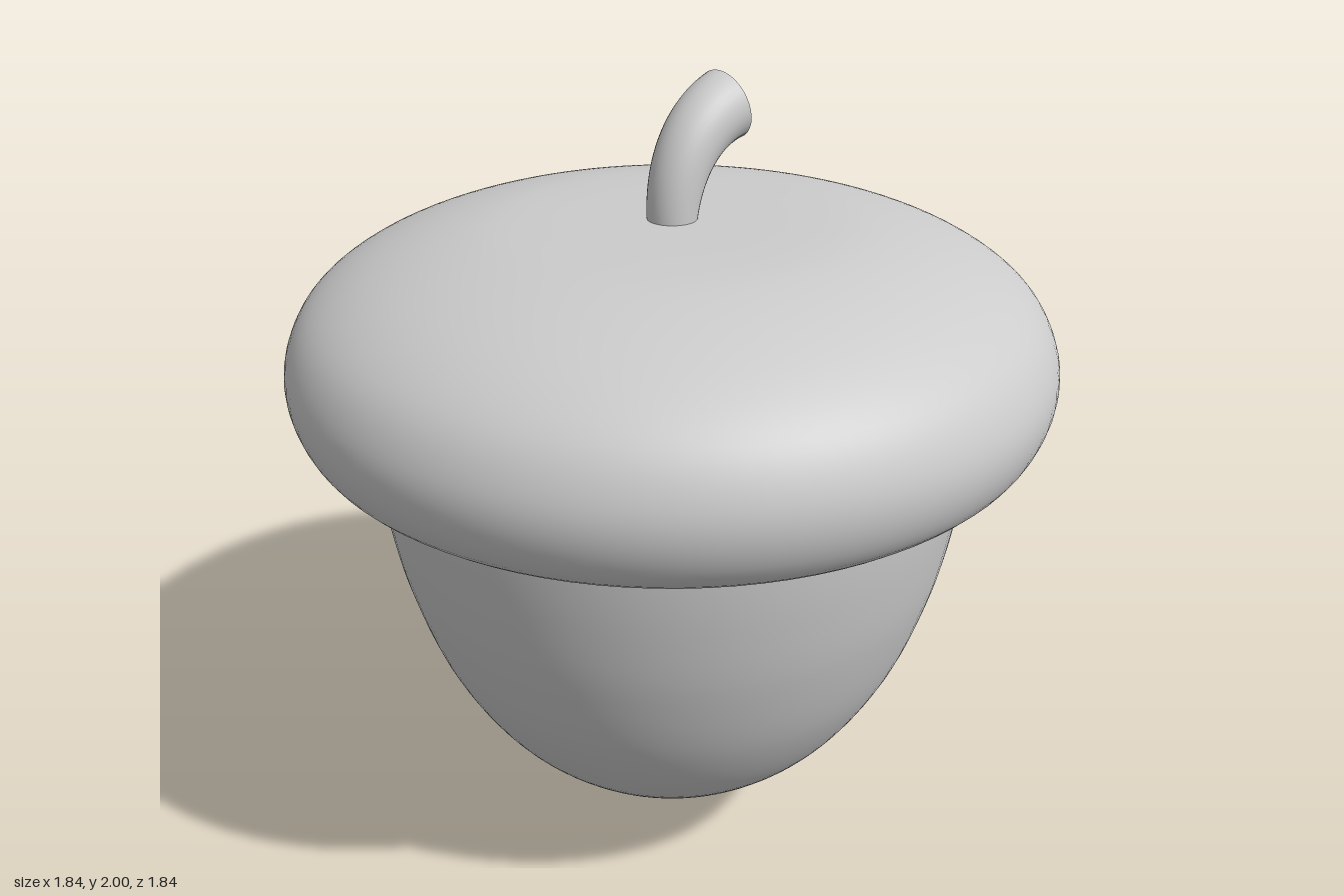
import * as THREE from 'three';

const material = new THREE.MeshStandardMaterial({ color: 0xcccccc });

function addMesh(group, geometry, name) {
  const mesh = new THREE.Mesh(geometry, material);
  mesh.name = name;
  group.add(mesh);
  return mesh;
}

// Smooth surface of revolution; profile runs from bottom to top
function turned(profile, steps = 48) {
  const curve = new THREE.SplineCurve(profile.map(([r, y]) => new THREE.Vector2(r, y)));
  const points = curve.getSpacedPoints(steps);
  points.forEach((p) => { p.x = Math.max(p.x, 0); });
  return new THREE.LatheGeometry(points, 96);
}

export function createModel() {
  const acorn = new THREE.Group();
  acorn.name = 'acorn';

  // Nut body, tucked up inside the cap
  addMesh(acorn, turned([
    [0, 0.11], [0.09, 0.115], [0.18, 0.145], [0.33, 0.225], [0.49, 0.375], [0.61, 0.575],
    [0.685, 0.8], [0.722, 1.0], [0.737, 1.17], [0.735, 1.3],
  ]), 'nut');

  // Pointed tip under the nut
  addMesh(acorn, turned([
    [0, 0], [0.035, 0.005], [0.075, 0.03], [0.125, 0.08], [0.18, 0.142], [0.22, 0.18],
  ], 24), 'tip');

  // Rounded cap with an inward-turned rim
  addMesh(acorn, turned([
    [0.6, 1.21], [0.68, 1.18], [0.75, 1.17], [0.82, 1.183], [0.885, 1.235], [0.918, 1.32],
    [0.912, 1.41], [0.86, 1.505], [0.76, 1.58], [0.62, 1.637], [0.46, 1.672],
    [0.3, 1.682], [0.15, 1.682], [0, 1.682],
  ], 64), 'cap');

  // Curved stem that widens towards its cut end
  const path = new THREE.CubicBezierCurve3(
    new THREE.Vector3(0, 1.66, 0), new THREE.Vector3(0, 1.79, 0),
    new THREE.Vector3(0.06, 1.89, 0), new THREE.Vector3(0.168, 1.92, 0),
  );
  const rings = 24, sides = 32, endRadius = 0.084;
  const stem = new THREE.TubeGeometry(path, rings, 1, sides);
  const position = stem.attributes.position;
  const vertex = new THREE.Vector3();
  for (let i = 0; i < position.count; i++) {
    const t = Math.floor(i / (sides + 1)) / rings;
    const centre = path.getPointAt(t);
    vertex.fromBufferAttribute(position, i).sub(centre);
    vertex.multiplyScalar(THREE.MathUtils.lerp(0.058, endRadius, t)).add(centre);
    position.setXYZ(i, vertex.x, vertex.y, vertex.z);
  }
  addMesh(acorn, stem, 'stem');

  const end = addMesh(acorn, new THREE.CircleGeometry(endRadius, sides), 'stemEnd');
  end.position.copy(path.getPointAt(1));
  end.lookAt(end.position.clone().add(path.getTangentAt(1)));

  return acorn;
}
